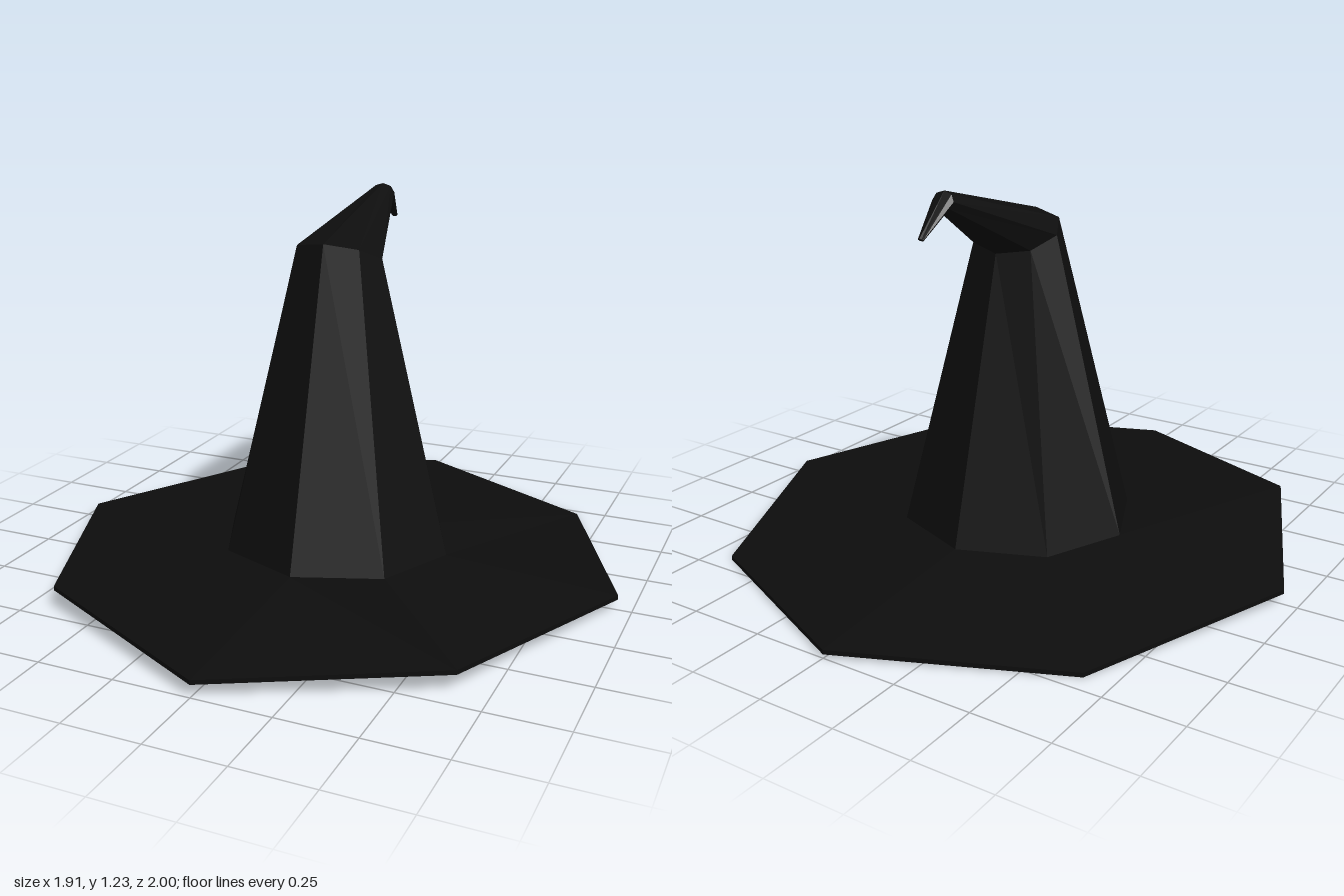
import * as THREE from 'three';

const SIDES = 8;

// Eight-sided ring through a front and a back point [z, y], with half width w
function ring(w, front, back) {
  return Array.from({ length: SIDES }, (_, i) => {
    const a = (i / SIDES) * Math.PI * 2;
    const t = (Math.sin(a) + 1) / 2;
    return [
      w * Math.cos(a),
      THREE.MathUtils.lerp(back[1], front[1], t),
      THREE.MathUtils.lerp(back[0], front[0], t),
    ];
  });
}

// Outer brim ring; each corner droops by its own height
function brimRing(lift) {
  const heights = [0.035, 0.06, 0.04, 0.06, 0.035, 0, 0.012, 0];
  return heights.map((y, i) => {
    const a = (i / SIDES) * Math.PI * 2;
    const k = i % 2 ? 0.977 : 1;
    return [0.955 * k * Math.cos(a), y + lift, k * Math.sin(a)];
  });
}

// Faceted skin through a sequence of rings
function loft(rings) {
  const pos = [];
  for (let r = 0; r < rings.length - 1; r++) {
    for (let i = 0; i < SIDES; i++) {
      const j = (i + 1) % SIDES;
      const a = rings[r][i], b = rings[r][j], c = rings[r + 1][j], d = rings[r + 1][i];
      pos.push(...a, ...d, ...c, ...a, ...c, ...b);
    }
  }
  const g = new THREE.BufferGeometry();
  g.setAttribute('position', new THREE.Float32BufferAttribute(pos, 3));
  g.computeVertexNormals();
  return g;
}

export function createModel() {
  const group = new THREE.Group();
  const felt = new THREE.MeshStandardMaterial({ color: 0x0d0d0d });
  felt.name = 'black felt';
  felt.flatShading = true;

  const add = (name, rings) => {
    const mesh = new THREE.Mesh(loft(rings), felt);
    mesh.name = name;
    group.add(mesh);
  };

  const base = ring(0.39, [0.367, 0.09], [-0.367, 0.08]);
  const opening = ring(0.378, [0.355, 0.07], [-0.355, 0.055]);
  const fold = ring(0.15, [0.105, 1.1], [-0.13, 0.99]);
  const bend = ring(0.038, [-0.392, 1.226], [-0.408, 1.168]);
  const tip = ring(0.009, [-0.516, 1.106], [-0.503, 1.096]);
  const tipEnd = ring(0, [-0.51, 1.1], [-0.51, 1.1]);

  // Brim: underside, thin rim and top
  add('brim', [opening, brimRing(0), brimRing(0.014), base]);

  // Crown cone, then the part folded back and its drooping point
  add('crown', [base, fold]);
  add('foldedTop', [fold, bend]);
  add('droopingTip', [bend, tip, tipEnd]);

  // Hollow inside
  const innerBend = ring(0, [-0.38, 1.18], [-0.38, 1.18]);
  const innerFold = ring(0.138, [0.093, 1.085], [-0.118, 0.985]);
  add('lining', [innerBend, innerFold, opening]);

  return group;
}
